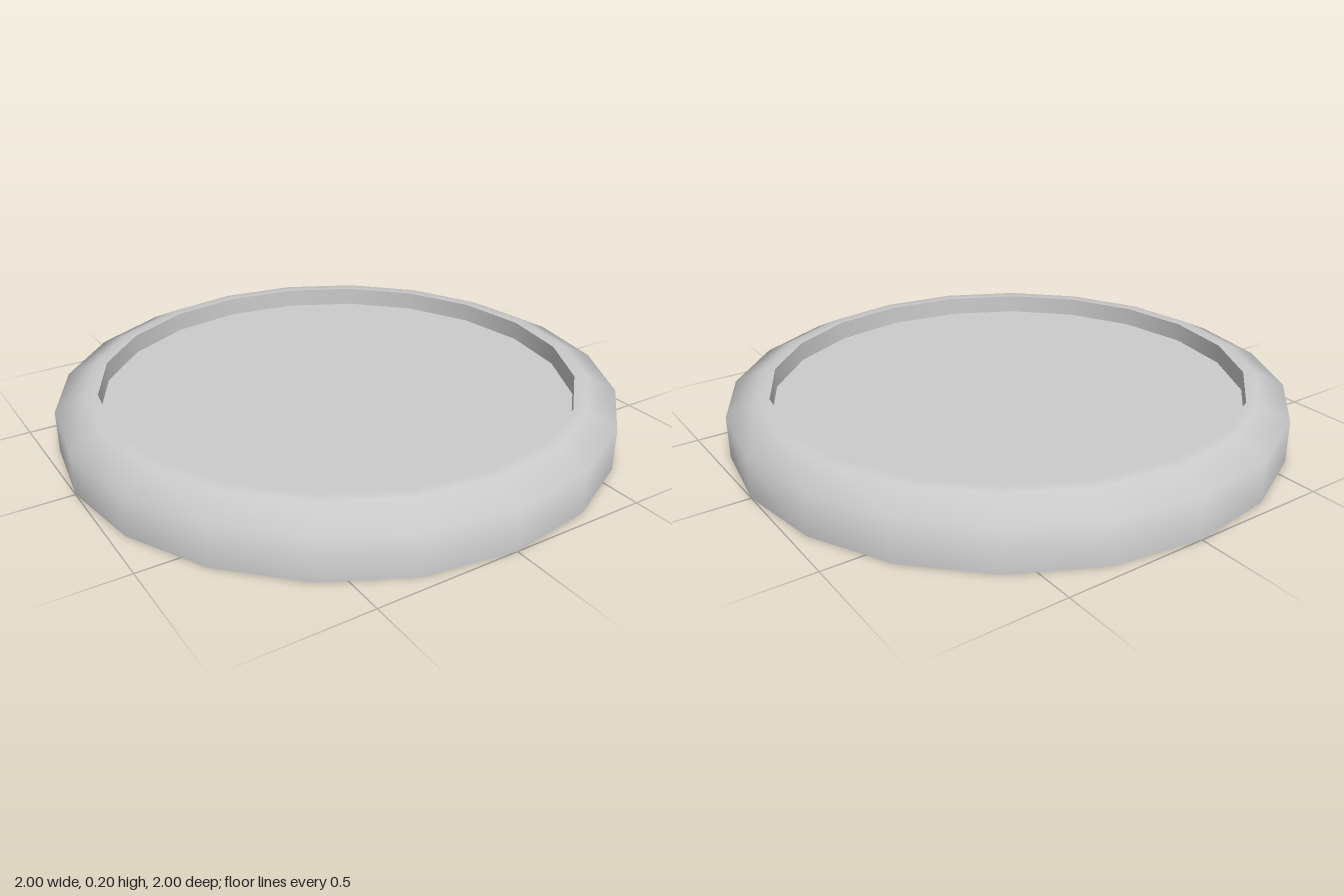
import * as THREE from 'three';

const SIDES = 20;

export function createModel() {
  const group = new THREE.Group();
  group.name = 'shallowDish';
  const material = new THREE.MeshStandardMaterial({ color: 0xcccccc });

  // Each band is its own lathe, so shading is smooth around it and sharp between bands
  const addBand = (name, profile) => {
    const points = profile.map(([r, y]) => new THREE.Vector2(r, y));
    const mesh = new THREE.Mesh(new THREE.LatheGeometry(points, SIDES), material);
    mesh.name = name;
    group.add(mesh);
  };

  // Flat underside
  addBand('base', [[0, 0], [1, 0]]);
  // Outer wall with bevelled shoulder and narrow flat lip
  addBand('outerRim', [[1, 0], [1, 0.15], [0.895, 0.2], [0.85, 0.2]]);
  // Recessed wall and floor
  addBand('innerWall', [[0.85, 0.2], [0.85, 0.13]]);
  addBand('floor', [[0.85, 0.13], [0, 0.13]]);

  return group;
}
